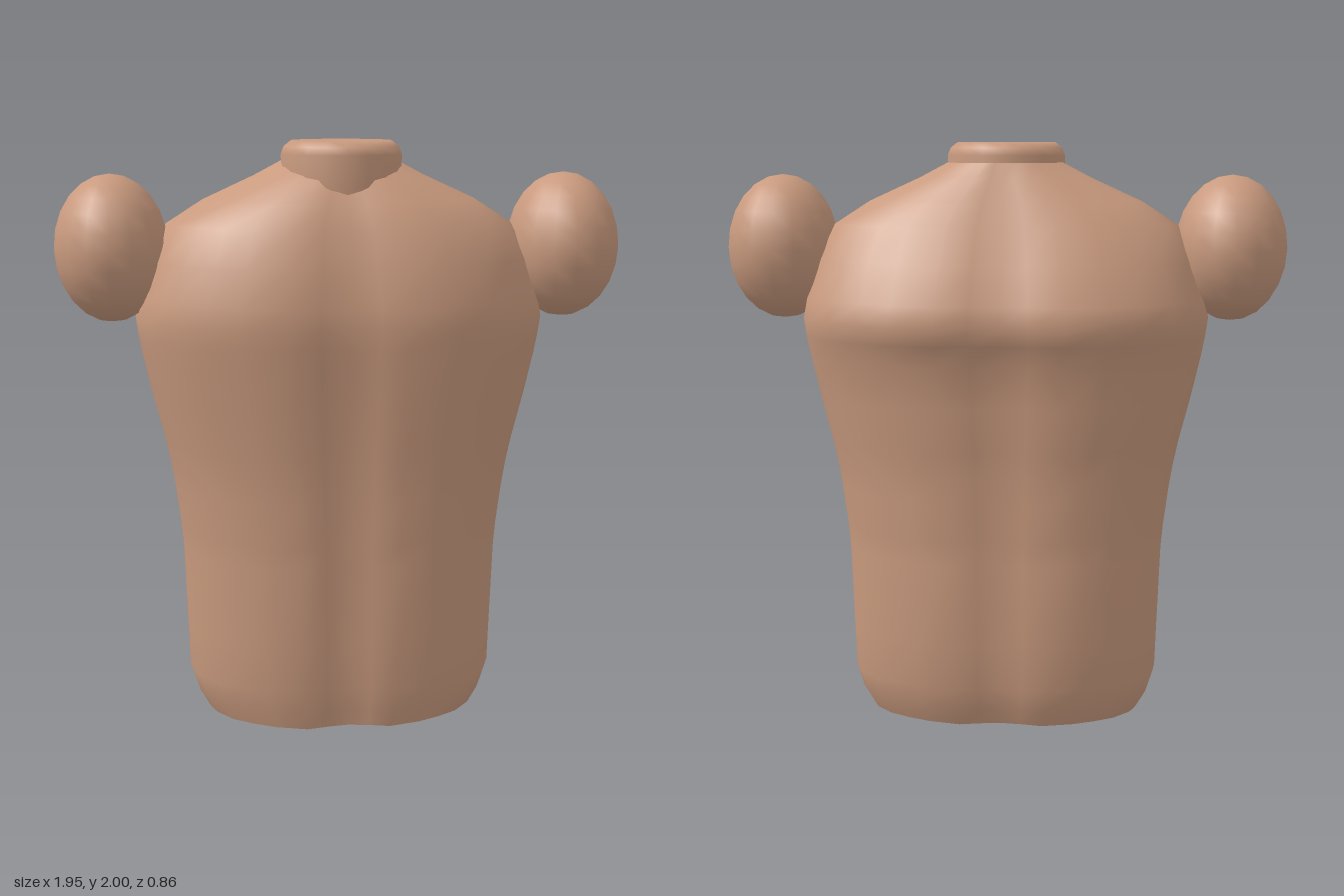
import * as THREE from 'three';

const skin = new THREE.MeshStandardMaterial({ color: 0xc99a7e });

// Torso levels: height, half width, back depth (+z), chest depth (-z), depth of the centre groove
const LEVELS = [
  [0, 0.48, 0.335, 0.28, 0.08],
  [0.06, 0.515, 0.345, 0.303, 0.08],
  [0.14, 0.54, 0.356, 0.322, 0.08],
  [0.3, 0.545, 0.363, 0.333, 0.08],
  [0.58, 0.555, 0.369, 0.335, 0.08],
  [0.66, 0.562, 0.372, 0.326, 0.08],
  [0.8, 0.58, 0.378, 0.342, 0.08],
  [0.88, 0.593, 0.382, 0.332, 0.08],
  [0.97, 0.612, 0.389, 0.35, 0.08],
  [1.12, 0.65, 0.402, 0.357, 0.08],
  [1.27, 0.684, 0.418, 0.375, 0.08],
  [1.34, 0.697, 0.425, 0.41, 0.08],
  [1.4, 0.705, 0.43, 0.428, 0.08],
  [1.47, 0.692, 0.427, 0.412, 0.08],
  [1.6, 0.652, 0.4, 0.346, 0.07],
  [1.72, 0.595, 0.354, 0.272, 0.06],
  [1.8, 0.47, 0.31, 0.225, 0.05],
  [1.88, 0.295, 0.245, 0.17, 0.03],
  [1.93, 0.2, 0.18, 0.14, 0],
];

// Quarter section from side to middle, as fractions of half width and depth
const QUARTER = [[1, 0], [0.985, 0.22], [0.94, 0.42], [0.82, 0.65], [0.68, 0.79], [0.52, 0.91], [0.3, 1], [0.14, 0.98]];

// Mirrors the quarter into a full ring running from +x towards +z
function ring([y, w, back, chest, groove]) {
  const middle = [0, 1 - groove];
  const half = [
    ...QUARTER.map(p => [...p]), middle,
    ...QUARTER.slice().reverse().map(([x, z]) => [-x, z]),
  ];
  half[7][1] -= groove * 0.4;
  half[9][1] = half[7][1];
  const other = half.slice(1, -1).reverse().map(([x, z]) => [x, -z]);
  return [...half, ...other].map(([x, z]) => [x * w, y, z * (z > 0 ? back : chest)]);
}

function surface(points, index) {
  const g = new THREE.BufferGeometry();
  g.setAttribute('position', new THREE.Float32BufferAttribute(points.flat(), 3));
  g.setIndex(index);
  g.computeVertexNormals();
  return g;
}

function add(group, name, geometry) {
  const mesh = new THREE.Mesh(geometry, skin);
  mesh.name = name;
  group.add(mesh);
  return mesh;
}

// Flat end of the torso
function cap(points, up) {
  const n = points.length, index = [];
  for (let i = 0; i < n; i++) {
    const k = (i + 1) % n;
    index.push(n, ...(up ? [k, i] : [i, k]));
  }
  return surface([...points, [0, points[0][1], 0]], index);
}

export function createModel() {
  const model = new THREE.Group();
  model.name = 'torso model';

  // Lofted torso skin with flat ends
  const rings = LEVELS.map(ring);
  const n = rings[0].length, index = [];
  for (let j = 0; j < rings.length - 1; j++) {
    for (let i = 0; i < n; i++) {
      const a = j * n + i, b = j * n + (i + 1) % n;
      index.push(a, a + n, b, b, a + n, b + n);
    }
  }
  const torso = new THREE.Group();
  torso.name = 'torso';
  add(torso, 'torsoSkin', surface(rings.flat(), index));
  add(torso, 'waistCap', cap(rings[0], false));
  add(torso, 'collarCap', cap(rings[rings.length - 1], true));
  model.add(torso);

  // Short neck stump with a softened rim
  const profile = [[0.2, 1.65], [0.205, 1.85], [0.205, 1.955], [0.195, 1.98], [0.17, 2], [0, 2]];
  const neck = add(model, 'neck', new THREE.LatheGeometry(profile.map(p => new THREE.Vector2(...p)), 18));
  neck.position.z = 0.07;

  // Egg-shaped shoulder balls
  for (const side of [1, -1]) {
    const ball = add(model, side > 0 ? 'leftShoulder' : 'rightShoulder', new THREE.SphereGeometry(1, 16, 12));
    ball.scale.set(0.193, 0.25, 0.228);
    ball.position.set(side * 0.78, 1.64, 0.025);
  }
  return model;
}
